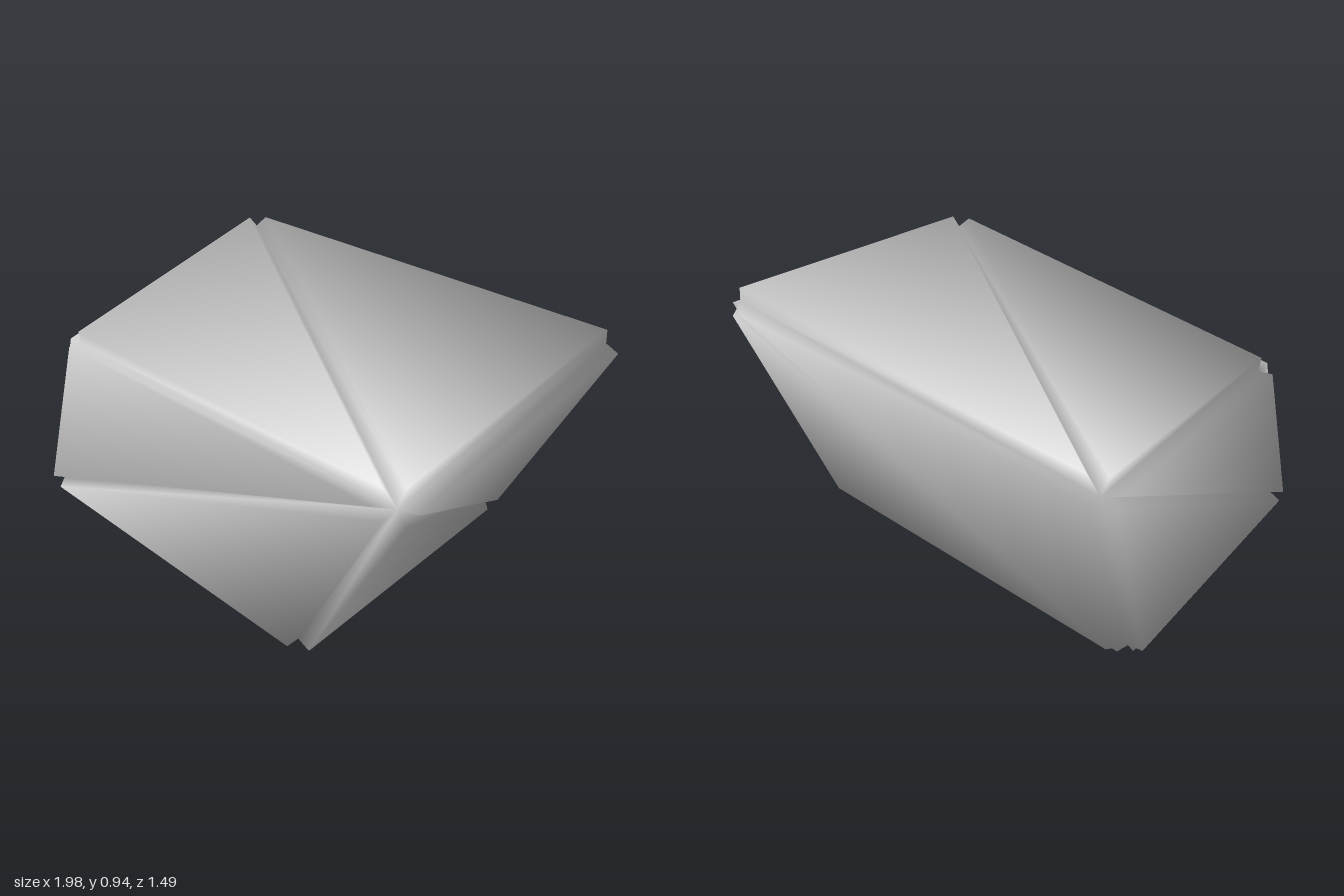
import * as THREE from 'three';

const THICK = 0.06;  // how far each facet stands proud of the core
const GROOVE = 0.035; // half width of the groove along each face diagonal

// Core corners: bottom ring, then top ring (back left, back right, front right, front left in plan)
const CORNERS = [
  [-0.94, 0.06, -0.46], [0.59, 0.06, -0.48], [0.59, 0.06, 0.65], [-0.79, 0.06, 0.69],
  [-0.90, 0.755, -0.60], [0.915, 0.88, -0.69], [0.93, 0.835, 0.54], [-0.75, 0.695, 0.54],
];

// Each face: diagonal start, diagonal end, then the two remaining corners
const FACES = [
  [4, 6, 5, 7], // top
  [2, 0, 1, 3], // bottom
  [3, 6, 7, 2], // front
  [5, 0, 4, 1], // back
  [6, 1, 5, 2], // right side of the plan
  [4, 3, 0, 7], // left side of the plan
];

function rockGeometry() {
  const verts = CORNERS.map((c) => new THREE.Vector3(...c));
  const centre = new THREE.Vector3();
  verts.forEach((v) => centre.addScaledVector(v, 1 / 8));
  const index = [];

  // A raised triangular facet, joined to the core corners by three walls
  function facet(a, b, c) {
    const [A, B, C] = [a, b, c].map((i) => verts[i]);
    const n = new THREE.Triangle(A, B, C).getNormal(new THREE.Vector3());
    const flip = n.dot(A.clone().sub(centre)) < 0;
    if (flip) n.negate();
    const base = [a, b, c];
    const first = verts.length;
    verts.push(
      A.clone().lerp(C, GROOVE).addScaledVector(n, THICK),
      B.clone().lerp(C, GROOVE).addScaledVector(n, THICK),
      C.clone().addScaledVector(n, THICK),
    );
    const top = [first, first + 1, first + 2];
    if (flip) { base.reverse(); top.reverse(); }
    index.push(...top);
    for (let i = 0; i < 3; i++) {
      const j = (i + 1) % 3;
      index.push(base[i], base[j], top[j], base[i], top[j], top[i]);
    }
  }

  for (const [p, q, r, s] of FACES) {
    facet(p, q, r);
    facet(p, q, s);
  }

  // Soft normals: every adjoining face counts equally, whatever its area
  const normals = verts.map(() => new THREE.Vector3());
  for (let i = 0; i < index.length; i += 3) {
    const t = index.slice(i, i + 3);
    const n = new THREE.Triangle(...t.map((k) => verts[k])).getNormal(new THREE.Vector3());
    t.forEach((k) => normals[k].add(n));
  }
  normals.forEach((n) => n.normalize());

  const geometry = new THREE.BufferGeometry().setFromPoints(verts);
  geometry.setAttribute('normal', new THREE.Float32BufferAttribute(normals.flatMap((n) => n.toArray()), 3));
  geometry.setIndex(index);
  return geometry;
}

export function createModel() {
  const group = new THREE.Group();
  group.name = 'boulder';
  const stone = new THREE.MeshStandardMaterial({ color: 0xcccccc });
  stone.name = 'stoneGrey';
  const rock = new THREE.Mesh(rockGeometry(), stone);
  rock.name = 'rock';
  group.add(rock);

  // Settle on the ground, centred in plan
  const box = new THREE.Box3().setFromObject(rock);
  const mid = box.getCenter(new THREE.Vector3());
  rock.position.set(-mid.x, -box.min.y, -mid.z);
  return group;
}
